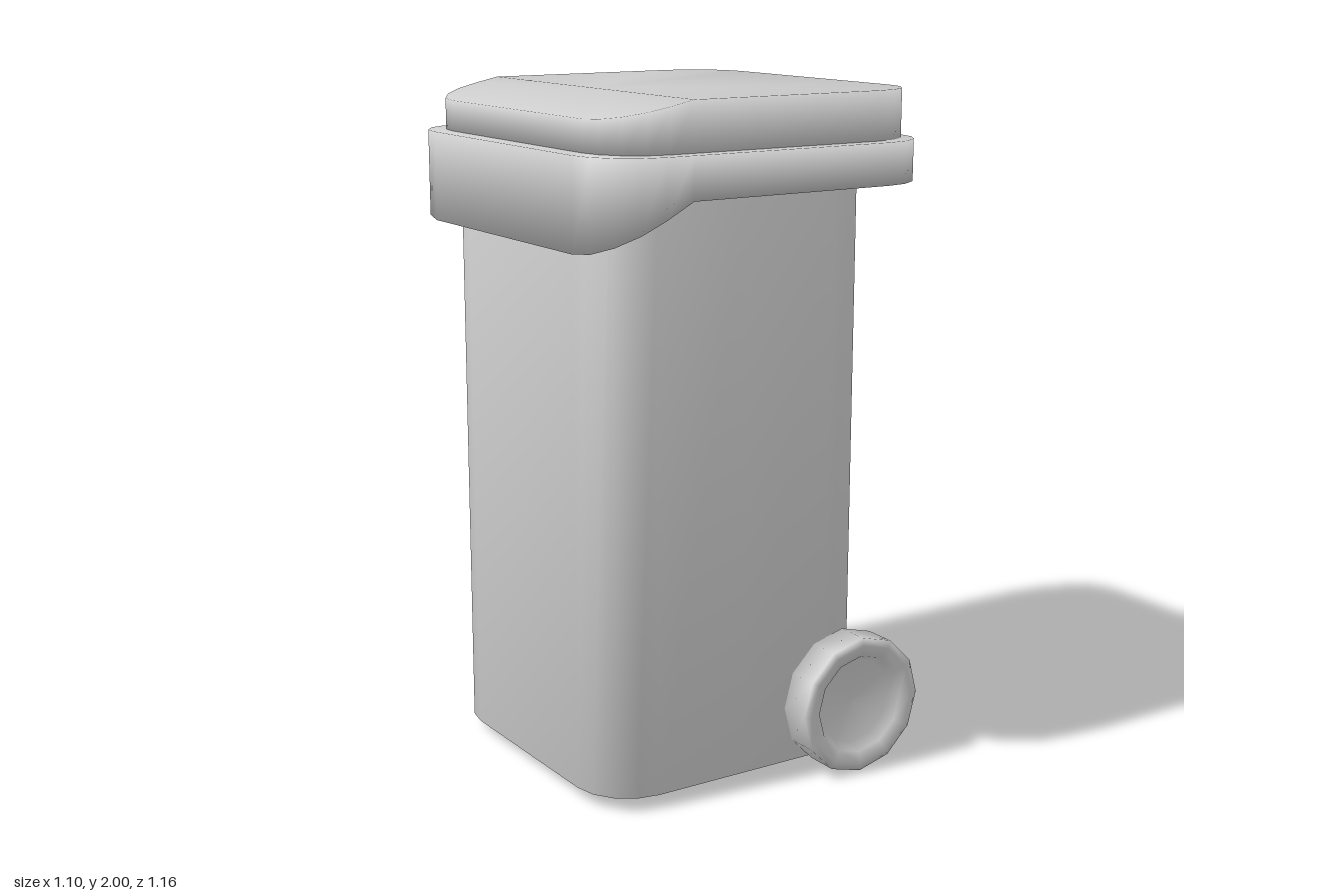
import * as THREE from 'three';

const material = new THREE.MeshStandardMaterial({ color: 0xcccccc, side: THREE.DoubleSide });

// Rounded rectangle in plan, with one extra point at x = kink on both long sides
function outline(x0, x1, z0, z1, r, kink) {
  const points = [];
  const corner = (cx, cz, start) => {
    for (let i = 0; i <= 4; i++) {
      const a = start + (i / 4) * Math.PI / 2;
      points.push([cx + r * Math.cos(a), cz + r * Math.sin(a)]);
    }
  };
  corner(x1 - r, z1 - r, 0);
  points.push([kink, z1]);
  corner(x0 + r, z1 - r, Math.PI / 2);
  corner(x0 + r, z0 + r, Math.PI);
  points.push([kink, z0]);
  corner(x1 - r, z0 + r, Math.PI * 1.5);
  return points;
}

// Smooth-shaded block over an outline; bottom and top heights are functions of x
function block(name, points, kink, bottom, top) {
  const n = points.length;
  const pos = [];
  const index = [];
  for (const [x, z] of points) pos.push(x, bottom(x), z);
  for (const [x, z] of points) pos.push(x, top(x), z);
  pos.push(kink, bottom(kink), 0, kink, top(kink), 0);
  for (let i = 0; i < n; i++) {
    const j = (i + 1) % n;
    index.push(i, n + i, j, j, n + i, n + j);
    index.push(2 * n, i, j, 2 * n + 1, n + j, n + i);
  }
  const geometry = new THREE.BufferGeometry();
  geometry.setAttribute('position', new THREE.Float32BufferAttribute(pos, 3));
  geometry.setIndex(index);
  geometry.computeVertexNormals();
  const mesh = new THREE.Mesh(geometry, material);
  mesh.name = name;
  return mesh;
}

export function createModel() {
  const group = new THREE.Group();
  group.name = 'wheeledBin';

  // Upright container
  group.add(block('body', outline(-0.5, 0.42, -0.47, 0.47, 0.17, -0.04), -0.04,
    () => 0.04, () => 1.76));

  // Overhanging rim that drops to a grip at the opening side
  const rimBottom = (x) => (x < -0.29 ? 1.74 + (x + 0.29) * 0.53 : 1.74);
  group.add(block('lidRim', outline(-0.555, 0.54, -0.58, 0.58, 0.18, -0.29), -0.29,
    rimBottom, () => 1.86));

  // Raised lid, sloping down toward the grip
  const lidTop = (x) => (x < -0.26 ? 2 + (x + 0.26) * 0.21 : 2);
  group.add(block('lidTop', outline(-0.502, 0.526, -0.56, 0.533, 0.17, -0.26), -0.26,
    () => 1.85, lidTop));

  // Hinge barrels
  for (const z of [-0.225, 0.24]) {
    const geometry = new THREE.CylinderGeometry(0.033, 0.033, 0.287, 8);
    const hinge = new THREE.Mesh(geometry.rotateX(Math.PI / 2), material);
    hinge.position.set(0.515, 1.87, z);
    hinge.name = 'hinge';
    group.add(hinge);
  }

  // Dished wheels
  const profile = [[0, 0], [0.208, 0], [0.208, 0.1], [0.185, 0.105], [0.15, 0.095], [0.13, 0.06], [0, 0.05]]
    .map(([r, y]) => new THREE.Vector2(r, y));
  for (const side of [1, -1]) {
    const geometry = new THREE.LatheGeometry(profile, 12).rotateX(side * Math.PI / 2);
    const wheel = new THREE.Mesh(geometry, material);
    wheel.position.set(0.315, 0.208, side * 0.468);
    wheel.name = side > 0 ? 'frontWheel' : 'rearWheel';
    group.add(wheel);
  }

  return group;
}
